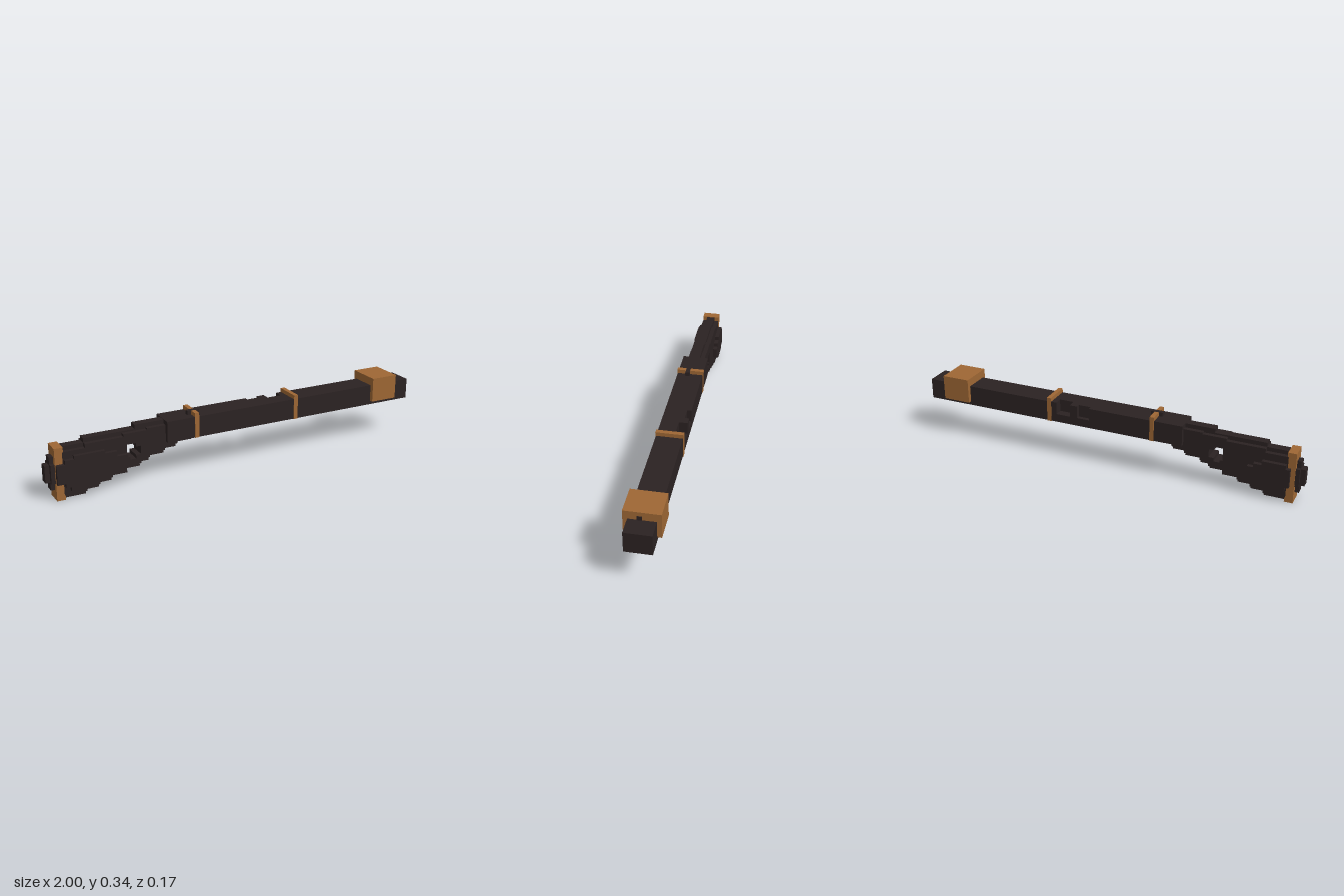
import * as THREE from 'three';

export function createModel() {
  const model = new THREE.Group();
  const dark = new THREE.MeshStandardMaterial({ color: 0x2b2222 });
  dark.name = 'dark wood';
  const brown = new THREE.MeshStandardMaterial({ color: 0x9e6734 });
  brown.name = 'bronze brown';

  // Box given by its limits on each axis
  function box(name, mat, [x0, x1], [y0, y1], [z0, z1]) {
    const mesh = new THREE.Mesh(new THREE.BoxGeometry(x1 - x0, y1 - y0, z1 - z0), mat);
    mesh.position.set((x0 + x1) / 2, (y0 + y1) / 2, (z0 + z1) / 2);
    mesh.name = name;
    model.add(mesh);
  }

  // Stepped slab: rows of [xEnd, y] along the bottom and the top
  function slab(name, xStart, bottom, top, z0, z1, hole) {
    const pts = [];
    const walk = (steps) => {
      const out = [];
      let x = xStart;
      for (const [xEnd, y] of steps) {
        out.push(new THREE.Vector2(x, y), new THREE.Vector2(xEnd, y));
        x = xEnd;
      }
      return out;
    };
    pts.push(...walk(bottom), ...walk(top).reverse());
    const shape = new THREE.Shape(pts);
    if (hole) shape.holes.push(new THREE.Path(hole.map(([x, y]) => new THREE.Vector2(x, y))));
    const geo = new THREE.ExtrudeGeometry(shape, { depth: z1 - z0, bevelEnabled: false });
    geo.translate(0, 0, z0);
    const mesh = new THREE.Mesh(geo, dark);
    mesh.name = name;
    model.add(mesh);
  }

  // Barrel: full front part, and a back strip broken by two notches
  const barrelY = [0.195, 0.3];
  box('barrel', dark, [-0.405, 1], barrelY, [-0.021, 0.064]);
  for (const span of [[-0.405, 0.085], [0.15, 0.19], [0.265, 1]])
    box('barrelBackStrip', dark, span, barrelY, [-0.064, -0.021]);
  box('notchFill', dark, [0.085, 0.15], barrelY, [-0.043, -0.021]);
  for (const span of [[0.085, 0.15], [0.19, 0.265]])
    box('notchFloor', dark, span, [0.195, 0.237], [-0.064, -0.021]);

  // Muzzle block with its dark sight mark
  box('muzzleBlock', brown, [0.765, 0.91], [0.215, 0.341], [-0.085, 0.085]);
  box('sightMark', dark, [0.908, 0.913], [0.299, 0.32], [0, 0.022]);

  // Two straps round the barrel
  for (const x of [-0.249, 0.305]) {
    const w = [x - 0.011, x + 0.011];
    for (const s of [-1, 1]) box('strapSide', brown, w, [0.194, 0.32], [s * 0.0645 - 0.0025, s * 0.0645 + 0.0025]);
    box('strapTop', brown, w, [0.298, 0.32], [-0.065, 0.065]);
    box('strapBottom', brown, w, [0.1935, 0.197], [-0.065, 0.065]);
  }
  box('rearSight', dark, [-0.28, -0.218], [0.3, 0.3205], [0, 0.022]);

  // Stock core and its slightly smaller middle layer, with the grip hole
  const hole = [[-0.605, 0.15], [-0.59, 0.15], [-0.59, 0.137], [-0.56, 0.137], [-0.56, 0.155],
    [-0.535, 0.155], [-0.535, 0.197], [-0.56, 0.197], [-0.56, 0.215], [-0.605, 0.215]];
  slab('stockCore', -0.93,
    [[-0.81, 0.001], [-0.745, 0.022], [-0.68, 0.043], [-0.6, 0.065], [-0.535, 0.087], [-0.49, 0.108],
      [-0.41, 0.13], [-0.345, 0.152], [-0.26, 0.174]],
    [[-0.81, 0.257], [-0.555, 0.278], [-0.405, 0.299], [-0.26, 0.21]], -0.021, 0.021, hole);
  slab('stockMiddle', -0.92,
    [[-0.81, 0.022], [-0.745, 0.043], [-0.68, 0.065], [-0.61, 0.087], [-0.535, 0.108], [-0.49, 0.13],
      [-0.41, 0.152], [-0.345, 0.174], [-0.3, 0.185]],
    [[-0.81, 0.237], [-0.62, 0.257], [-0.5, 0.27], [-0.405, 0.278], [-0.3, 0.21]], -0.043, 0.043, hole);

  // Raised cheeks on both sides of the stock
  slab('frontCheek', -0.955,
    [[-0.915, 0.085], [-0.89, 0.065], [-0.78, 0.043], [-0.72, 0.065], [-0.66, 0.087], [-0.607, 0.13]],
    [[-0.915, 0.18], [-0.87, 0.2], [-0.72, 0.215], [-0.66, 0.2], [-0.607, 0.174]], 0.04, 0.062);
  slab('backCheek', -0.935,
    [[-0.915, 0.085], [-0.8, 0.065], [-0.76, 0.087], [-0.73, 0.108]],
    [[-0.915, 0.18], [-0.8, 0.2], [-0.76, 0.18], [-0.73, 0.16]], -0.064, -0.04);

  // Butt plate with a stepped dark pad
  box('buttPlate', brown, [-0.957, -0.915], [0, 0.26], [-0.043, 0.043]);
  box('buttPadOuter', dark, [-0.977, -0.955], [0.05, 0.215], [-0.021, 0.021]);
  box('buttPadWide', dark, [-0.977, -0.955], [0.087, 0.18], [-0.04, 0.04]);
  box('buttPadInner', dark, [-1, -0.975], [0.09, 0.175], [-0.021, 0.021]);

  return model;
}
